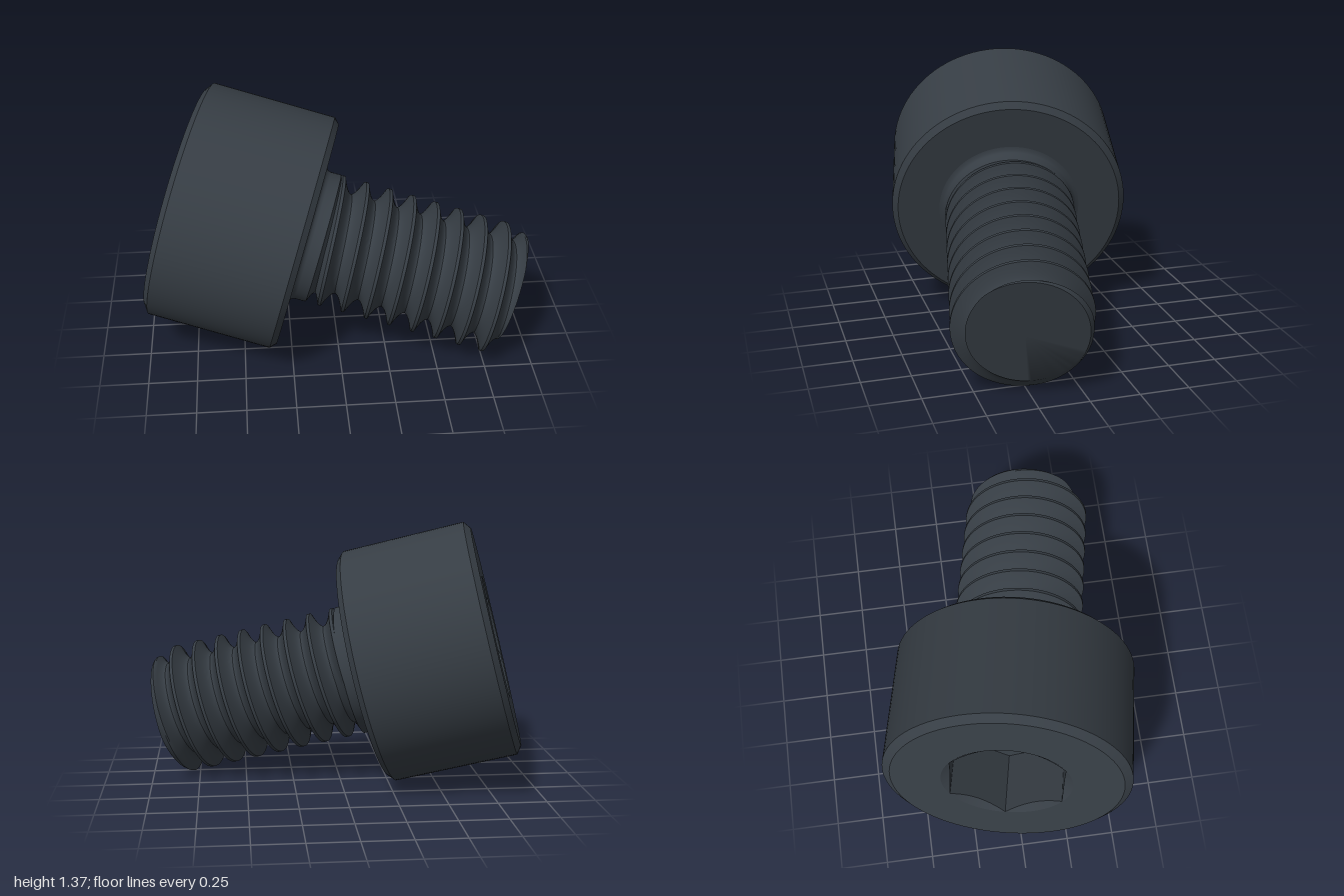
import * as THREE from 'three';
import { toCreasedNormals } from 'three/addons/utils/BufferGeometryUtils.js';

const SEGS = 96;
const TURN = Math.PI * 2;

// Surface swept round the y axis; at(row, angle) gives [radius, height]
function loft(rows, at, crease) {
  const pos = [], index = [];
  for (let j = 0; j < rows; j++) {
    for (let i = 0; i <= SEGS; i++) {
      const a = (i / SEGS) * TURN;
      const [r, h] = at(j, a);
      pos.push(r * Math.cos(a), h, -r * Math.sin(a));
    }
  }
  const point = (k) => new THREE.Vector3().fromArray(pos, k * 3);
  const addTriangle = (a, b, c) => {
    const area = new THREE.Triangle(point(a), point(b), point(c)).getArea();
    if (area > 1e-9) index.push(a, b, c);
  };
  for (let j = 0; j < rows - 1; j++) {
    for (let i = 0; i < SEGS; i++) {
      const a = j * (SEGS + 1) + i, c = a + SEGS + 1;
      addTriangle(a, a + 1, c);
      addTriangle(a + 1, c + 1, c);
    }
  }
  const geometry = new THREE.BufferGeometry();
  geometry.setAttribute('position', new THREE.Float32BufferAttribute(pos, 3));
  geometry.setIndex(index);
  return toCreasedNormals(geometry, crease);
}

// Chamfered cylinder head with a countersunk hexagonal socket
function headGeometry() {
  const top = -0.678, mouth = 0.33, apothem = 0.285, depth = 0.33;
  const hex = (a) => apothem / Math.cos((((a + 1e-7) % (Math.PI / 3)) - Math.PI / 6));
  const profile = [
    () => [0, top + depth],
    (a) => [hex(a), top + depth],
    (a) => [hex(a), top + (mouth - hex(a)) * 0.6],
    () => [mouth, top],
    () => [0.585, top],
    () => [0.626, -0.648],
    () => [0.626, 0],
    () => [0.595, 0.03],
    () => [0.3, 0.03],
  ];
  return loft(profile.length, (j, a) => profile[j](a), 0.4);
}

// Plain neck with a small fillet under the head and a runout into the thread
function neckGeometry() {
  const profile = [
    [0.375, 0.03], [0.36, 0.034], [0.349, 0.043], [0.345, 0.058],
    [0.345, 0.115], [0.3, 0.135], [0.262, 0.17],
  ];
  return loft(profile.length, (j) => profile[j], 0.7);
}

// Right-handed helical thread with a chamfered, flat tip
function threadGeometry() {
  const pitch = 0.126, steps = 16, firstCrest = 0.139;
  const start = 0.1, end = 1.135, crest = 0.345, depth = 0.083;
  const rows = steps * 10 + 2;
  return loft(rows, (j, a) => {
    if (j === rows - 1) return [0, end];
    const wound = firstCrest + pitch * (j / steps - 2 + a / TURN);
    const h = THREE.MathUtils.clamp(wound, start, end);
    const turns = (h - firstCrest) / pitch - a / TURN;
    const off = Math.abs(turns - Math.round(turns));
    const t = THREE.MathUtils.clamp((off - 0.0625) / 0.4375, 0, 1);
    const r = crest - depth * (1 - Math.pow(1 - t, 1.7));
    return [Math.min(r, 0.305 + (end - h) * 0.7), h];
  }, 0.7);
}

export function createModel() {
  const steel = new THREE.MeshStandardMaterial({ color: 0x363d44 });
  steel.name = 'dark steel';

  const screw = new THREE.Group();
  screw.name = 'socketScrew';
  const parts = { head: headGeometry(), neck: neckGeometry(), thread: threadGeometry() };
  for (const [name, geometry] of Object.entries(parts)) {
    const mesh = new THREE.Mesh(geometry, steel);
    mesh.name = name;
    screw.add(mesh);
  }

  // Tilt: local y runs from head to tip, local x points upward
  const axis = new THREE.Vector3(1, -0.26, 0.207).normalize();
  const up = new THREE.Vector3(0, 1, 0).addScaledVector(axis, -axis.y).normalize();
  const side = new THREE.Vector3().crossVectors(up, axis);
  screw.quaternion.setFromRotationMatrix(new THREE.Matrix4().makeBasis(up, axis, side));
  screw.position.set(-0.175, 0.61, 0.065);

  const model = new THREE.Group();
  model.name = 'model';
  model.add(screw);
  return model;
}
